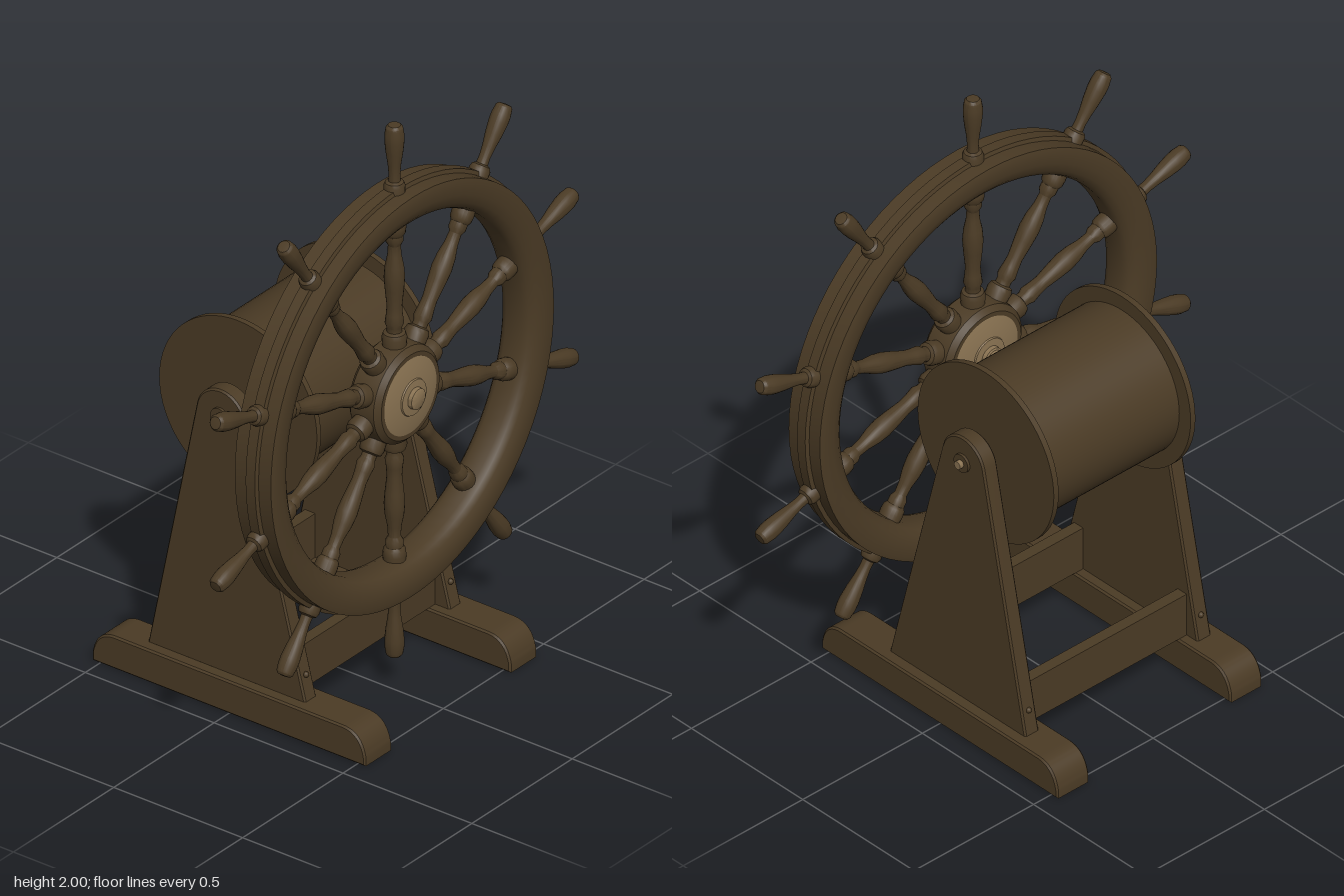
import * as THREE from 'three';
import { toCreasedNormals } from 'three/addons/utils/BufferGeometryUtils.js';

const wood = new THREE.MeshStandardMaterial({ name: 'darkWood', color: 0x4b3b25 });
const brass = new THREE.MeshStandardMaterial({ name: 'agedBrass', color: 0x8a7352 });

function add(parent, name, geometry, material, x = 0, y = 0, z = 0) {
  const mesh = new THREE.Mesh(geometry, material);
  mesh.name = name;
  mesh.position.set(x, y, z);
  parent.add(mesh);
  return mesh;
}

// Turned part from [radius, height] pairs, listed upward along the outside
function turned(points, segments = 48, crease = 0.6) {
  const profile = points.map(([r, h]) => new THREE.Vector2(r, h));
  return toCreasedNormals(new THREE.LatheGeometry(profile, segments), crease);
}

// Side profile drawn in (z, y), extruded along x and centred on it
function sidePanel(shape, width, bevel = 0.006) {
  const geometry = new THREE.ExtrudeGeometry(shape, {
    depth: width - 2 * bevel, bevelThickness: bevel, bevelSize: bevel,
    bevelOffset: -bevel, bevelSegments: 1, curveSegments: 16,
  });
  geometry.translate(0, 0, -width / 2 + bevel);
  geometry.rotateY(-Math.PI / 2);
  return toCreasedNormals(geometry, 0.5);
}

function createStand() {
  const stand = new THREE.Group();
  stand.name = 'stand';

  // Foot with rounded upper ends
  const foot = new THREE.Shape();
  foot.moveTo(-0.53, 0);
  foot.lineTo(0.53, 0);
  foot.lineTo(0.53, 0.03);
  foot.quadraticCurveTo(0.515, 0.115, 0.44, 0.115);
  foot.lineTo(-0.44, 0.115);
  foot.quadraticCurveTo(-0.515, 0.115, -0.53, 0.03);
  const footGeometry = sidePanel(foot, 0.135);

  // Tapered upright with a round head
  const upright = new THREE.Shape();
  upright.moveTo(-0.345, 0.11);
  upright.lineTo(0.268, 0.11);
  upright.lineTo(0.03, 1.03);
  upright.absarc(-0.063, 1.008, 0.095, 0.23, Math.PI - 0.2, false);
  const uprightGeometry = sidePanel(upright, 0.058);

  const washer = new THREE.CylinderGeometry(0.032, 0.032, 0.012, 24).rotateZ(Math.PI / 2);
  const pin = new THREE.CylinderGeometry(0.014, 0.014, 0.03, 16).rotateZ(Math.PI / 2);
  const peg = new THREE.SphereGeometry(0.01, 12, 8);

  for (const side of [-1, 1]) {
    const label = side > 0 ? 'left' : 'right';
    add(stand, label + 'Foot', footGeometry, wood, side * 0.362);
    add(stand, label + 'Upright', uprightGeometry, wood, side * 0.36);
    add(stand, label + 'Washer', washer, wood, side * 0.392, 1.01, -0.063);
    add(stand, label + 'Pin', pin, brass, side * 0.398, 1.01, -0.063);
    add(stand, label + 'FrontPeg', peg, wood, side * 0.36, 0.195, 0.247);
    add(stand, label + 'BackPeg', peg, wood, side * 0.36, 0.195, -0.327);
  }

  // Cross boards between the uprights
  const board = new THREE.BoxGeometry(0.67, 0.155, 0.04);
  add(stand, 'frontBoard', board, wood, 0, 0.1925, 0.19);
  add(stand, 'backBoard', board, wood, 0, 0.1925, -0.275);
  return stand;
}

function createDrum() {
  const drum = new THREE.Group();
  drum.name = 'drum';
  drum.position.set(0, 1, -0.066);
  const along = (r, length, n = 64) => new THREE.CylinderGeometry(r, r, length, n).rotateZ(Math.PI / 2);
  add(drum, 'barrel', along(0.255, 0.57), wood);
  add(drum, 'axle', along(0.03, 0.7, 24), wood);
  for (const side of [-1, 1]) {
    add(drum, 'flange', along(0.306, 0.02), wood, side * 0.286);
  }
  return drum;
}

function createWheel() {
  const wheel = new THREE.Group();
  wheel.name = 'wheel';
  wheel.position.set(0, 1.06, 0.31);

  // Rim: flat outer faces, rounded in toward the spokes
  const rim = turned([
    [0.595, -0.03], [0.604, -0.05], [0.622, -0.064], [0.65, -0.073], [0.69, -0.074],
    [0.705, -0.07], [0.705, -0.022], [0.718, -0.018], [0.718, 0.018], [0.705, 0.022],
    [0.705, 0.07], [0.69, 0.074], [0.65, 0.073], [0.622, 0.064], [0.604, 0.05],
    [0.595, 0.03], [0.595, -0.03],
  ], 80).rotateX(Math.PI / 2);
  add(wheel, 'rim', rim, wood);

  // Hub with brass caps on both faces
  const hub = turned([
    [0, -0.062], [0.145, -0.062], [0.162, -0.045], [0.168, 0], [0.162, 0.045], [0.145, 0.062], [0, 0.062],
  ]).rotateX(Math.PI / 2);
  add(wheel, 'hub', hub, wood);
  const cap = turned([
    [0.132, 0.055], [0.13, 0.062], [0.1, 0.069], [0.062, 0.073], [0.06, 0.078], [0.036, 0.08],
    [0.035, 0.094], [0.03, 0.097], [0, 0.097],
  ]).rotateX(Math.PI / 2);
  add(wheel, 'frontCap', cap, brass);
  add(wheel, 'backCap', cap, brass).rotation.y = Math.PI;
  add(wheel, 'shaft', new THREE.CylinderGeometry(0.029, 0.029, 0.1, 24).rotateX(Math.PI / 2), brass, 0, 0, -0.085);

  // Turned spokes and handles
  const spoke = turned([
    [0.036, 0.14], [0.04, 0.19], [0.035, 0.205], [0.024, 0.21], [0.024, 0.225], [0.03, 0.24],
    [0.026, 0.27], [0.024, 0.3], [0.03, 0.36], [0.033, 0.4], [0.03, 0.44], [0.022, 0.48], [0.02, 0.515],
    [0.028, 0.53], [0.028, 0.55], [0.035, 0.56], [0.037, 0.58], [0.035, 0.61],
  ], 20);
  const handle = turned([
    [0.034, 0.69], [0.034, 0.725], [0.029, 0.737], [0.019, 0.742], [0.018, 0.765], [0.021, 0.8],
    [0.027, 0.84], [0.031, 0.88], [0.031, 0.905], [0.028, 0.922], [0.027, 0.93], [0.02, 0.938], [0, 0.94],
  ], 20);
  for (let i = 0; i < 10; i++) {
    const arm = new THREE.Group();
    arm.name = 'spokeArm';
    arm.rotation.z = (i * Math.PI) / 5;
    add(arm, 'spoke', spoke, wood);
    add(arm, 'handle', handle, wood);
    wheel.add(arm);
  }
  return wheel;
}

export function createModel() {
  const model = new THREE.Group();
  model.name = 'shipWheel';
  model.add(createStand(), createDrum(), createWheel());
  return model;
}
